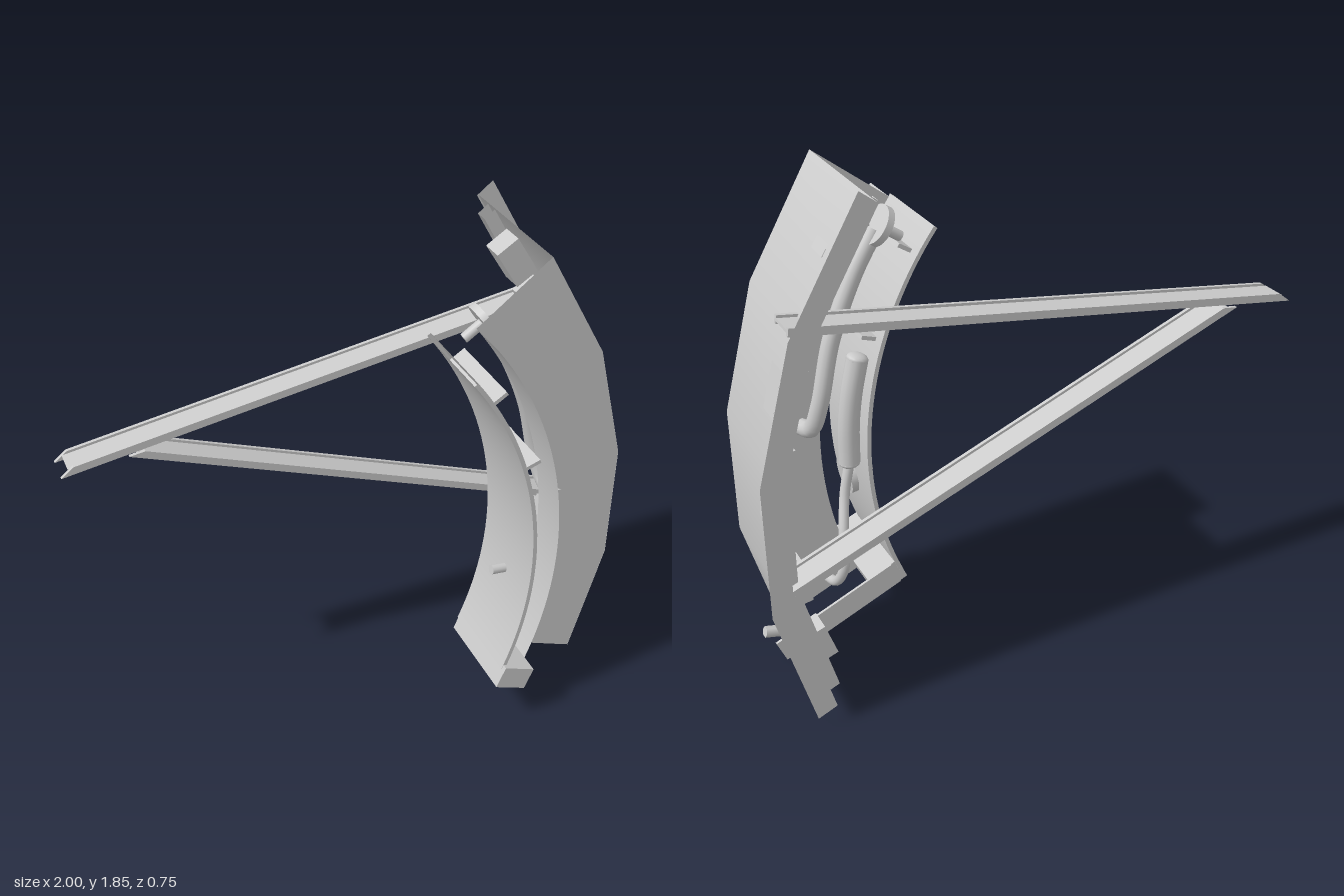
import * as THREE from 'three';
import { mergeGeometries } from 'three/addons/utils/BufferGeometryUtils.js';

const CX = -0.814, CY = 0.755;            // centre of the curved section
const A0 = -22.5, A1 = 37.5;              // its angular span in degrees
const rad = THREE.MathUtils.degToRad;
const mat = new THREE.MeshStandardMaterial({ color: 0xcccccc, side: THREE.DoubleSide });

function mesh(name, geo, parent) {
  const m = new THREE.Mesh(geo, mat);
  m.name = name;
  parent.add(m);
  return m;
}

// Sweeps a profile of [radius, z] points about the z axis, with sharp profile corners
function sweep(name, profile, segs, parent, a0 = A0, a1 = A1) {
  const strips = [];
  for (let i = 0; i + 1 < profile.length; i++) {
    const pts = [profile[i], profile[i + 1]].map(([r, z]) => new THREE.Vector2(r, z));
    const g = new THREE.LatheGeometry(pts, segs, rad(a0 + 90), rad(a1 - a0));
    strips.push(g.rotateX(Math.PI / 2));
  }
  return mesh(name, mergeGeometries(strips), parent);
}

// Places a part in polar position: its x runs radially, its y along the arc
function polar(m, r, deg, z) {
  const a = rad(deg);
  m.position.set(r * Math.cos(a), r * Math.sin(a), z);
  m.rotation.z = a;
  return m;
}

function polarPoint(r, deg, z) {
  return new THREE.Vector3(r * Math.cos(rad(deg)), r * Math.sin(rad(deg)), z);
}

function tube(name, points, radius, parent) {
  const curve = new THREE.CatmullRomCurve3(points);
  return mesh(name, new THREE.TubeGeometry(curve, 32, radius, 12), parent);
}

// Channel beam lying in the xy plane: web plus two side flanges
function beam(name, x0, y0, x1, y1, parent) {
  const g = new THREE.Group();
  const len = Math.hypot(x1 - x0, y1 - y0);
  g.name = name;
  g.position.set((x0 + x1) / 2, (y0 + y1) / 2, -0.272);
  g.rotation.z = Math.atan2(y1 - y0, x1 - x0);
  const web = mesh('web', new THREE.BoxGeometry(len - 0.03, 0.01, 0.09), g);
  web.position.x = 0.015;
  const side = new THREE.Shape([
    new THREE.Vector2(-len / 2, -0.014), new THREE.Vector2(len / 2, -0.014),
    new THREE.Vector2(len / 2, 0.014), new THREE.Vector2(-len / 2 + 0.05, 0.014),
  ]);
  for (const z of [-0.057, 0.044]) {
    const f = mesh('flange', new THREE.ExtrudeGeometry(side, { depth: 0.013, bevelEnabled: false }), g);
    f.position.z = z;
  }
  parent.add(g);
}

// Hand wheel with its stem pointing to the arc centre
function wheel(r, deg, z, size, parent) {
  const g = new THREE.Group();
  g.name = 'handWheel';
  mesh('disc', new THREE.CylinderGeometry(size, size, 0.025, 24).rotateZ(Math.PI / 2), g);
  const stem = mesh('stem', new THREE.CylinderGeometry(0.018, 0.018, 0.1, 12).rotateZ(Math.PI / 2), g);
  stem.position.x = -0.04;
  parent.add(polar(g, r, deg, z));
}

export function createModel() {
  const model = new THREE.Group();
  const arc = new THREE.Group();
  arc.name = 'curvedSection';
  arc.position.set(CX, CY, 0);
  model.add(arc);

  // Shell: raised inner lip, front panel, faceted outer wall, flat back flange
  sweep('innerLip', [[1.43, 0.305], [1.43, 0.155]], 32, arc);
  sweep('frontPanel', [[1.43, 0.155], [1.715, 0.155]], 32, arc);
  sweep('panelRim', [[1.7, 0.154], [1.76, 0.154]], 4, arc);
  sweep('outerWall', [[1.76, 0.155], [1.76, -0.37]], 4, arc);
  sweep('backFlange', [[1.755, -0.37], [1.83, -0.37]], 4, arc);

  // Rail along the inside of the outer wall
  sweep('innerRail', [[1.757, -0.29], [1.71, -0.29], [1.71, -0.24], [1.757, -0.24]], 4, arc);

  // Free-standing inner wall with brackets
  sweep('innerWall', [[1.3, 0.01], [1.315, 0.01], [1.315, 0.355], [1.3, 0.355], [1.3, 0.01]], 32, arc);
  for (const deg of [32.7, 18.7]) {
    polar(mesh('wallBracket', new THREE.BoxGeometry(0.065, 0.014, 0.3), arc), 1.335, deg, 0.205);
  }

  // Lower end: foot block under the inner wall and a thin radial end plate
  polar(mesh('footBlock', new THREE.BoxGeometry(0.13, 0.09, 0.36), arc), 1.365, -22.6, 0.195);
  polar(mesh('endPlate', new THREE.BoxGeometry(0.49, 0.09, 0.01), arc), 1.575, -22.6, 0.015);

  // Equipment boxes on the inside of the outer wall: [angle, length along the arc]
  for (const [deg, len] of [[32.5, 0.16], [26.3, 0.08], [15, 0.16], [4, 0.26], [-9, 0.16], [-18.5, 0.13]]) {
    polar(mesh('equipmentBox', new THREE.BoxGeometry(0.09, len, 0.085), arc), 1.7, deg, -0.17);
  }

  // Curved tank with its outlet pipe
  const tankPath = [-1, 5, 10, 15.5].map(d => polarPoint(1.363, d, 0.06));
  tube('tank', tankPath, 0.038, arc);
  for (const d of [-1, 15.5]) {
    polar(mesh('tankEnd', new THREE.SphereGeometry(0.038, 16, 10).scale(1, 0.5, 1), arc), 1.363, d, 0.06);
  }
  tube('outletPipe', [
    polarPoint(1.363, -1, 0.06), polarPoint(1.4, -6, 0.05), polarPoint(1.45, -11, 0.0),
    polarPoint(1.49, -15, -0.03), polarPoint(1.53, -18, 0.02), polarPoint(1.55, -19, 0.15),
  ], 0.018, arc);

  // Upper pipe behind the panel
  tube('upperPipe', [
    polarPoint(1.48, 33.5, 0.045), polarPoint(1.48, 27, 0.045), polarPoint(1.48, 18, 0.045),
    polarPoint(1.48, 9, 0.045), polarPoint(1.49, 5, 0.08), polarPoint(1.5, 4, 0.155),
  ], 0.03, arc);
  wheel(1.475, 34, 0.045, 0.07, arc);
  wheel(1.335, -6.5, 0.18, 0.07, arc);

  // Peg through the outer wall
  const peg = mesh('peg', new THREE.CylinderGeometry(0.02, 0.02, 0.1, 6).rotateZ(Math.PI / 2), model);
  peg.position.set(0.895, 0.22, -0.07);
  peg.rotation.z = 0.25;

  // Braced support arm
  beam('upperStrut', -1, 1.175, 0.86, 1.465, model);
  beam('lowerStrut', -0.76, 1.2, 0.91, 0.55, model);

  return model;
}
